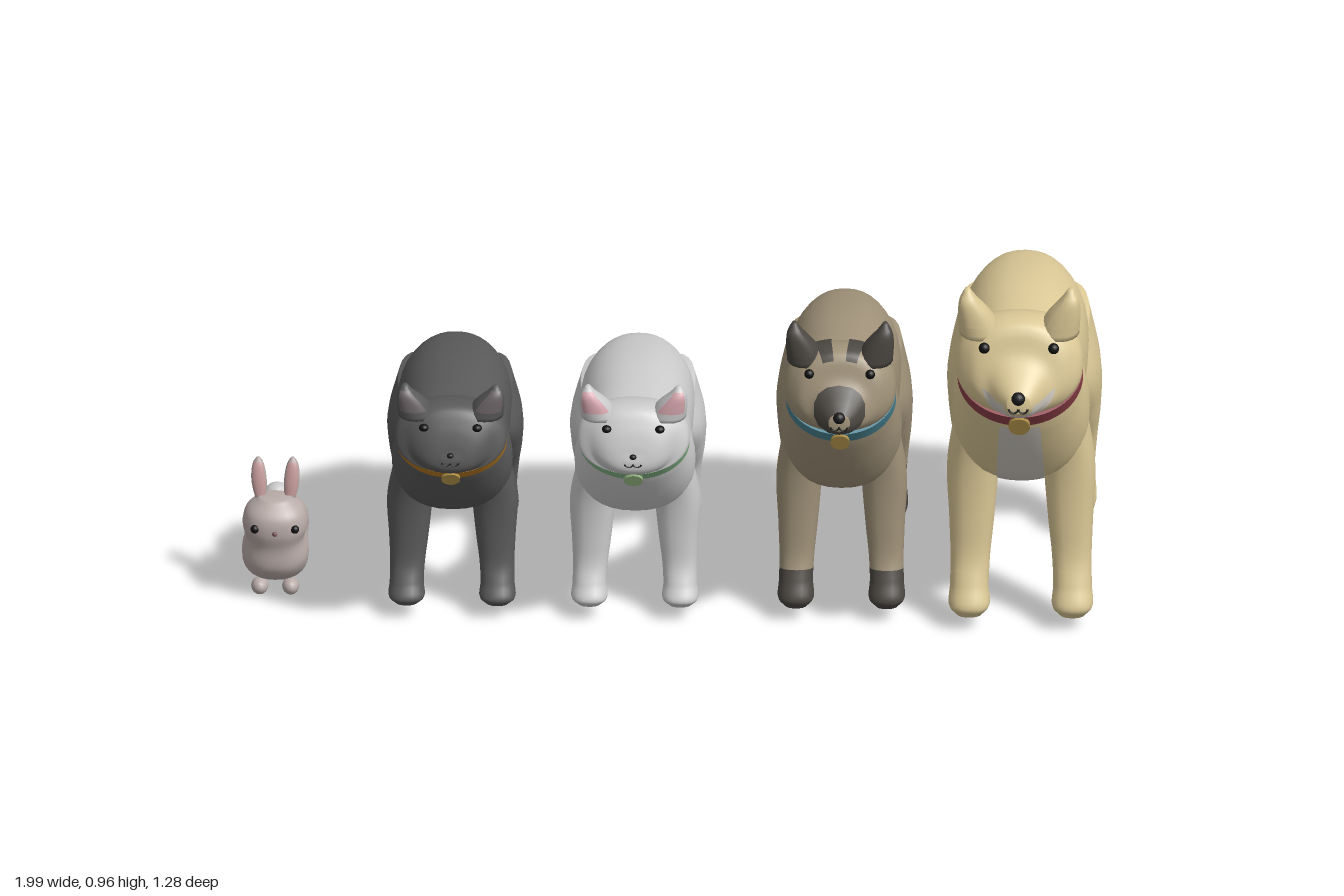
import * as THREE from 'three';

const TAU = Math.PI * 2;
const mat = (color) => new THREE.MeshStandardMaterial({ color, side: THREE.DoubleSide });

function add(group, name, geometry, color) {
  const mesh = new THREE.Mesh(geometry, mat(color));
  mesh.name = name;
  group.add(mesh);
  return mesh;
}

// A section is [z, y, z, y, halfWidth, x]: two opposite points of a ring, its half width and its x.
function surface(sections, side = 1) {
  const a = new THREE.CatmullRomCurve3(sections.map((s) => new THREE.Vector3(s[4], s[1], s[0])));
  const b = new THREE.CatmullRomCurve3(sections.map((s) => new THREE.Vector3((s[5] || 0) * side, s[3], s[2])));
  const power = (v) => Math.sign(v) * Math.abs(v) ** 0.88;
  return (t, angle, grow = 0) => {
    const p = a.getPoint(t), q = b.getPoint(t);
    const dy = (p.y - q.y) / 2, dz = (p.z - q.z) / 2;
    const k = power(Math.cos(angle)) * (1 + grow / (Math.hypot(dy, dz) || 1));
    return new THREE.Vector3(
      q.x + (p.x + grow) * power(Math.sin(angle)),
      (p.y + q.y) / 2 + dy * k,
      (p.z + q.z) / 2 + dz * k);
  };
}

// Skin of a surface, or a patch of it between t0..t1 and a0..a1
function skin(at, { t0 = 0, t1 = 1, a0 = 0, a1 = TAU, grow = 0, rows = 30, cols = 28 } = {}) {
  const closed = a1 - a0 > TAU - 0.001;
  const n = closed ? cols : cols + 1;
  const pos = [], index = [];
  for (let i = 0; i <= rows; i++) {
    for (let j = 0; j < n; j++) {
      pos.push(...at(t0 + (t1 - t0) * i / rows, a0 + (a1 - a0) * j / cols, grow).toArray());
    }
  }
  for (let i = 0; i < rows; i++) {
    for (let j = 0; j < cols; j++) {
      const p = i * n + j, q = i * n + (j + 1) % n;
      index.push(p, p + n, q, q, p + n, q + n);
    }
  }
  // End caps
  const cap = (t, row, flip) => {
    const c = pos.length / 3;
    pos.push(...at(t, 0).add(at(t, Math.PI)).multiplyScalar(0.5).toArray());
    for (let j = 0; j < n; j++) {
      const p = row * n + j, q = row * n + (j + 1) % n;
      index.push(c, flip ? q : p, flip ? p : q);
    }
  };
  if (closed && t0 === 0) cap(0, 0, false);
  if (closed && t1 === 1) cap(1, rows, true);
  const g = new THREE.BufferGeometry();
  g.setAttribute('position', new THREE.Float32BufferAttribute(pos, 3));
  g.setIndex(index);
  g.computeVertexNormals();
  return g;
}

const TORSO = [
  [-0.34, 0.64, -0.305, 0.48, 0.05], [-0.29, 0.69, -0.275, 0.39, 0.11],
  [-0.2, 0.715, -0.185, 0.35, 0.145], [-0.065, 0.73, -0.065, 0.35, 0.15],
  [0.07, 0.725, 0.07, 0.35, 0.145], [0.185, 0.715, 0.21, 0.36, 0.155],
  [0.225, 0.725, 0.305, 0.38, 0.16], [0.252, 0.74, 0.37, 0.45, 0.155],
  [0.28, 0.757, 0.44, 0.56, 0.14], [0.31, 0.78, 0.475, 0.625, 0.133],
  [0.39, 0.855, 0.52, 0.653, 0.147], [0.465, 0.885, 0.55, 0.663, 0.145],
];
const DOG_FACE = [
  [0.525, 0.875, 0.57, 0.67, 0.112], [0.555, 0.81, 0.59, 0.677, 0.072],
  [0.6, 0.765, 0.61, 0.683, 0.045], [0.625, 0.742, 0.63, 0.7, 0.025],
];
const CAT_FACE = [
  [0.515, 0.88, 0.55, 0.66, 0.115], [0.545, 0.83, 0.565, 0.668, 0.085],
  [0.562, 0.78, 0.575, 0.685, 0.055], [0.57, 0.745, 0.577, 0.715, 0.02],
];
const FRONT_LEG = [
  [0.33, 0.55, 0.16, 0.55, 0.05, 0.1], [0.305, 0.4, 0.185, 0.4, 0.06, 0.112],
  [0.3, 0.26, 0.205, 0.25, 0.052, 0.115], [0.305, 0.17, 0.22, 0.16, 0.046, 0.118],
  [0.325, 0.11, 0.235, 0.09, 0.045, 0.12], [0.345, 0.06, 0.255, 0.05, 0.047, 0.12],
  [0.33, 0.035, 0.275, 0.035, 0.03, 0.12],
];
const HIND_LEG = [
  [-0.08, 0.56, -0.315, 0.6, 0.05, 0.1], [-0.075, 0.43, -0.3, 0.47, 0.066, 0.112],
  [-0.14, 0.32, -0.315, 0.34, 0.062, 0.115], [-0.205, 0.22, -0.33, 0.24, 0.05, 0.118],
  [-0.215, 0.145, -0.315, 0.15, 0.042, 0.12], [-0.18, 0.08, -0.3, 0.07, 0.046, 0.12],
  [-0.19, 0.035, -0.275, 0.035, 0.03, 0.12],
];
const TAIL = [
  [-0.28, 0.51, -0.29, 0.665, 0.035], [-0.305, 0.485, -0.355, 0.63, 0.038],
  [-0.345, 0.425, -0.41, 0.53, 0.036], [-0.4, 0.335, -0.465, 0.4, 0.036],
  [-0.455, 0.245, -0.52, 0.28, 0.034], [-0.535, 0.172, -0.58, 0.2, 0.026],
  [-0.635, 0.155, -0.64, 0.16, 0.006],
];
const EAR = [
  [0.42, 0.85, 0.535, 0.84, 0.05, 0.09], [0.455, 0.9, 0.535, 0.895, 0.038, 0.105],
  [0.485, 0.942, 0.53, 0.935, 0.02, 0.118], [0.5, 0.965, 0.515, 0.96, 0.006, 0.12],
];

function ball(group, name, p, r, color) {
  add(group, name, new THREE.SphereGeometry(r, 14, 10), color).position.copy(p);
}

function pet({ name, x, scale, cat, fur, collar, sock = fur, tip = fur, tail = fur, ear = fur, inner = ear, pale, mask }) {
  const g = new THREE.Group();
  g.name = name;
  const at = surface([...TORSO, ...(cat ? CAT_FACE : DOG_FACE)]);
  const patch = (label, from, to, a0, a1, color) => add(g, label,
    skin(at, { t0: from / 15, t1: to / 15, a0, a1, grow: 0.003, rows: 20, cols: 14 }), color);
  add(g, 'body', skin(at, { rows: 75, cols: 36 }), fur);

  // Tail in two colours
  const tailAt = surface(TAIL);
  add(g, 'tail', skin(tailAt, { t1: 0.6 }), tail);
  add(g, 'tailTip', skin(tailAt, { t0: 0.6, rows: 16 }), tip);

  // Paired legs, ears and eyes
  for (const side of [-1, 1]) {
    for (const [label, secs] of [['frontLeg', FRONT_LEG], ['hindLeg', HIND_LEG]]) {
      const leg = surface(secs, side);
      add(g, label, skin(leg, { t1: 0.58, cols: 20 }), fur);
      add(g, label + 'Paw', skin(leg, { t0: 0.58, cols: 20 }), sock);
    }
    const earAt = surface(EAR, side);
    add(g, 'ear', skin(earAt, { rows: 14, cols: 18 }), ear);
    add(g, 'innerEar', skin(earAt, { t0: 0.2, t1: 0.85, a0: Math.PI - 0.8, a1: Math.PI + 0.8, grow: 0.003, rows: 8, cols: 8 }), inner);
    ball(g, 'eye', at((cat ? 12.7 : 12.3) / 15, side * (cat ? 0.8 : 0.9)), 0.013, 0x111111);

    // Smile
    const mouth = add(g, 'mouth', new THREE.TorusGeometry(0.011, 0.0025, 6, 10, Math.PI), 0x222222);
    mouth.rotation.z = Math.PI;
    mouth.position.set(side * 0.011, 0.712, cat ? 0.576 : 0.63);
  }
  ball(g, 'nose', new THREE.Vector3(0, 0.737, cat ? 0.573 : 0.628), cat ? 0.009 : 0.016, 0x1a1a1a);

  // Markings
  if (pale) {
    patch('chestMarking', 1.5, 8.3, Math.PI - 0.3, Math.PI + 0.3, pale);
    patch('muzzleMarking', 12.7, 14.6, 1.7, TAU - 1.7, pale);
  }
  if (mask) {
    patch('muzzleMask', 13.2, 14.95, 0, TAU, mask);
    patch('headStripe', 10, 12.3, 0.12, 0.4, mask);
    patch('headStripe', 10, 12.3, -0.4, -0.12, mask);
  }

  // Collar band and tag
  const band = new THREE.Shape().absellipse(0, 0, 0.146, 0.131, 0, TAU);
  band.holes.push(new THREE.Path().absellipse(0, 0, 0.122, 0.105, 0, TAU));
  const ring = new THREE.ExtrudeGeometry(band, { depth: 0.04, bevelEnabled: false, curveSegments: 40 });
  ring.translate(0, 0, -0.02).rotateX(-0.917).translate(0, 0.692, 0.383);
  add(g, 'collar', ring, collar);
  const tag = add(g, 'collarTag', new THREE.CylinderGeometry(0.025, 0.025, 0.012, 20), cat && fur > 0x888888 ? 0x8fae7c : 0xa88a45);
  tag.rotation.x = 1.9;
  tag.position.set(0, 0.605, 0.492);

  g.scale.set(...scale);
  g.position.set(x, 0.035 * (1 - scale[1]), 0);
  return g;
}

function rabbit(x) {
  const g = new THREE.Group();
  g.name = 'rabbit';
  const fur = 0xb9aca8;
  // Long body turning up into the head
  const at = surface([
    [-0.122, 0.12, -0.122, 0.06, 0.05], [-0.1, 0.143, -0.1, 0.032, 0.07],
    [0.02, 0.147, 0.02, 0.028, 0.074], [0.085, 0.145, 0.14, 0.03, 0.077],
    [0.082, 0.16, 0.2, 0.075, 0.077], [0.084, 0.17, 0.208, 0.135, 0.068],
    [0.08, 0.19, 0.218, 0.175, 0.076], [0.09, 0.225, 0.213, 0.215, 0.068],
    [0.12, 0.25, 0.18, 0.25, 0.035],
  ]);
  add(g, 'body', skin(at, { rows: 50 }), fur);
  ball(g, 'tail', new THREE.Vector3(0, 0.12, -0.128), 0.033, 0xd0cfce);
  for (const side of [-1, 1]) {
    const ear = surface([
      [0.115, 0.225, 0.15, 0.225, 0.011, 0.033], [0.11, 0.28, 0.145, 0.28, 0.018, 0.038],
      [0.11, 0.32, 0.135, 0.32, 0.013, 0.04], [0.118, 0.336, 0.126, 0.336, 0.004, 0.04],
    ], side);
    add(g, 'ear', skin(ear, { rows: 14, cols: 16 }), fur);
    add(g, 'innerEar', skin(ear, { t0: 0.15, t1: 0.8, a0: Math.PI - 0.8, a1: Math.PI + 0.8, grow: 0.002, rows: 8, cols: 8 }), 0xc79c9c);
    ball(g, 'eye', at(6.35 / 8, Math.PI - side * 0.62), 0.01, 0x111111);
    for (const z of [0.15, -0.06]) {
      const foot = add(g, 'foot', new THREE.SphereGeometry(1, 14, 10), fur);
      foot.scale.set(0.02, 0.02, 0.026);
      foot.position.set(side * 0.036, 0.02, z);
    }
  }
  ball(g, 'nose', at(6.2 / 8, Math.PI), 0.006, 0x7a5558);
  g.position.x = x;
  return g;
}

export function createModel() {
  const model = new THREE.Group();
  model.name = 'pets';
  const catScale = [0.88, 0.69, 0.87];
  model.add(
    rabbit(-0.918),
    pet({ name: 'darkCat', x: -0.505, scale: catScale, cat: true, fur: 0x5a5a5a, inner: 0x6e6668, collar: 0xb87a22 }),
    pet({ name: 'paleCat', x: -0.08, scale: catScale, cat: true, fur: 0xc2c2c4, inner: 0xd4a5ac, collar: 0x86b98a }),
    pet({ name: 'maskedDog', x: 0.4, scale: [0.88, 0.87, 0.87], fur: 0xa09279, sock: 0x4c4843, tail: 0x4c4843, tip: 0x4c4843, ear: 0x4c4843, mask: 0x4c4843, collar: 0x4a8594 }),
    pet({ name: 'goldenDog', x: 0.818, scale: [1, 1, 1], fur: 0xdcc997, tip: 0xd8d0bc, pale: 0xcfcac0, collar: 0x8f4149 }),
  );
  return model;
}
